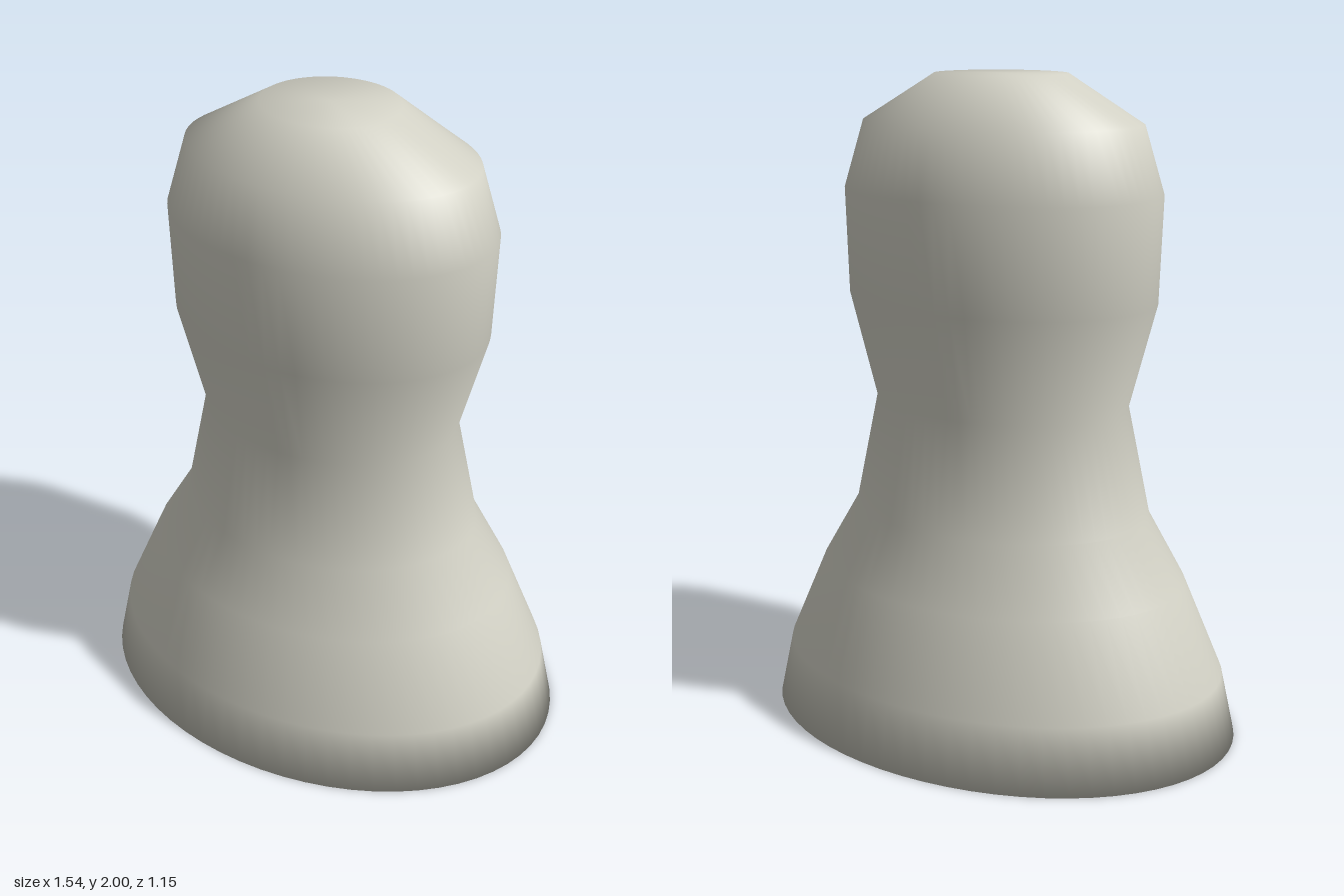
import * as THREE from 'three';
import { mergeVertices } from 'three/addons/utils/BufferGeometryUtils.js';

// Elliptical cross-sections from the base up: [height, half width, half depth]
const SECTIONS = [
  [0, 0, 0],
  [0, 0.77, 0.577],
  [0.2, 0.725, 0.543],
  [0.48, 0.6, 0.452],
  [0.68, 0.48, 0.372],
  [1.02, 0.408, 0.312],
  [1.34, 0.493, 0.373],
  [1.66, 0.505, 0.373],
  [1.86, 0.445, 0.315],
  [2, 0.203, 0.183],
  [2, 0, 0],
];

// Closed body: a lathe whose rings are flattened front to back
function bodyGeometry() {
  const profile = SECTIONS.map(([y, rx]) => new THREE.Vector2(rx, y));
  const lathe = new THREE.LatheGeometry(profile, 64);
  const pos = lathe.attributes.position;
  for (let i = 0; i < pos.count; i++) {
    const [, rx, rz] = SECTIONS[i % SECTIONS.length];
    if (rx > 0) pos.setZ(i, pos.getZ(i) * rz / rx);
  }
  // Weld the seam and the rims so the shading runs smoothly over them
  lathe.deleteAttribute('uv');
  lathe.deleteAttribute('normal');
  const welded = mergeVertices(lathe, 1e-4);
  welded.computeVertexNormals();
  return welded;
}

export function createModel() {
  const model = new THREE.Group();
  model.name = 'waistedPiece';
  const stone = new THREE.MeshStandardMaterial({ color: 0xd2d1c5 });
  stone.name = 'pale stone';
  const body = new THREE.Mesh(bodyGeometry(), stone);
  body.name = 'body';
  model.add(body);
  return model;
}
